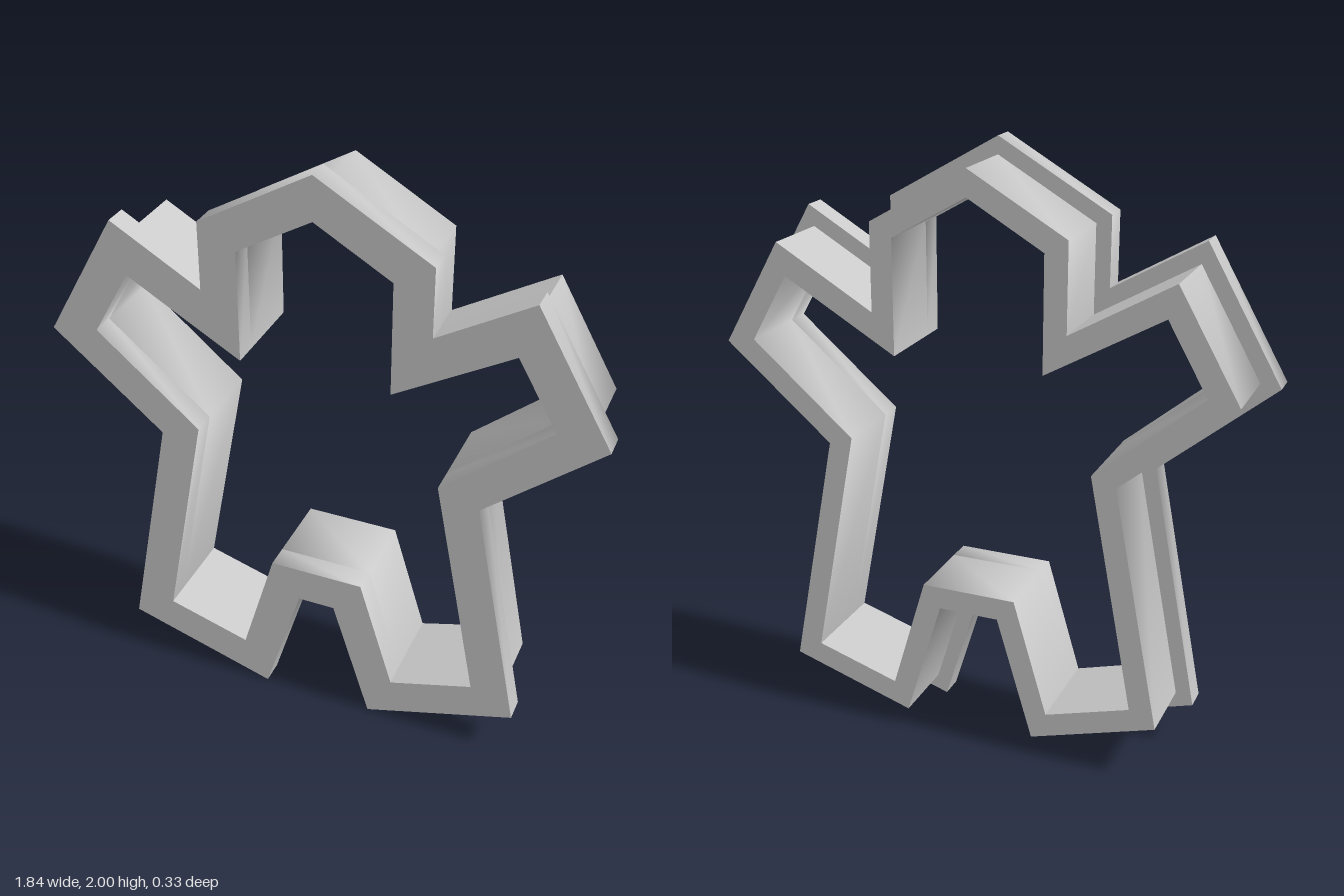
import * as THREE from 'three';
import { toCreasedNormals } from 'three/addons/utils/BufferGeometryUtils.js';

// Right half of each outline, from the top of the head down to the crotch
const OUTER = [[0, 2], [0.372, 1.787], [0.372, 1.56], [0.672, 1.735], [0.92, 1.305],
  [0.545, 0.99], [0.707, 0.163], [0.193, 0.002], [0.063, 0.43]];
const INNER = [[0, 1.856], [0.248, 1.713], [0.248, 1.337], [0.628, 1.556], [0.757, 1.331],
  [0.41, 1.037], [0.56, 0.25], [0.276, 0.163], [0.16, 0.556]];

// Mirror a half outline into a closed clockwise loop
function mirrored(half) {
  const left = half.slice(1).reverse().map(([x, y]) => [-x, y]);
  return [...half, ...left].map(([x, y]) => new THREE.Vector2(x, y));
}

// Outline-shaped ring between two half outlines, from z0 to z1
function ring(name, outer, inner, z0, z1, material) {
  const shape = new THREE.Shape(mirrored(outer));
  // The hole runs the other way round so its walls face into the opening
  shape.holes.push(new THREE.Path(mirrored(inner).reverse()));
  const geometry = new THREE.ExtrudeGeometry(shape, { depth: z1 - z0, bevelEnabled: false });
  geometry.translate(0, 0, z0);
  // Blunt corners (head, hands, waist) shade smoothly, sharper ones stay crisp
  const mesh = new THREE.Mesh(toCreasedNormals(geometry, THREE.MathUtils.degToRad(82)), material);
  mesh.name = name;
  return mesh;
}

export function createModel() {
  const group = new THREE.Group();
  group.name = 'cookieCutter';
  const grey = new THREE.MeshStandardMaterial({ color: 0xc8c8c8 });
  grey.name = 'grey';

  // The wall's outside runs partway between the flange edge and the opening
  const wallOuter = OUTER.map(([x, y], i) => [
    THREE.MathUtils.lerp(x, INNER[i][0], 0.4),
    THREE.MathUtils.lerp(y, INNER[i][1], 0.4),
  ]);

  group.add(
    ring('gripFlange', OUTER, INNER, 0.083, 0.163, grey),
    ring('cutterWall', wallOuter, INNER, -0.163, 0.083, grey),
  );
  return group;
}
